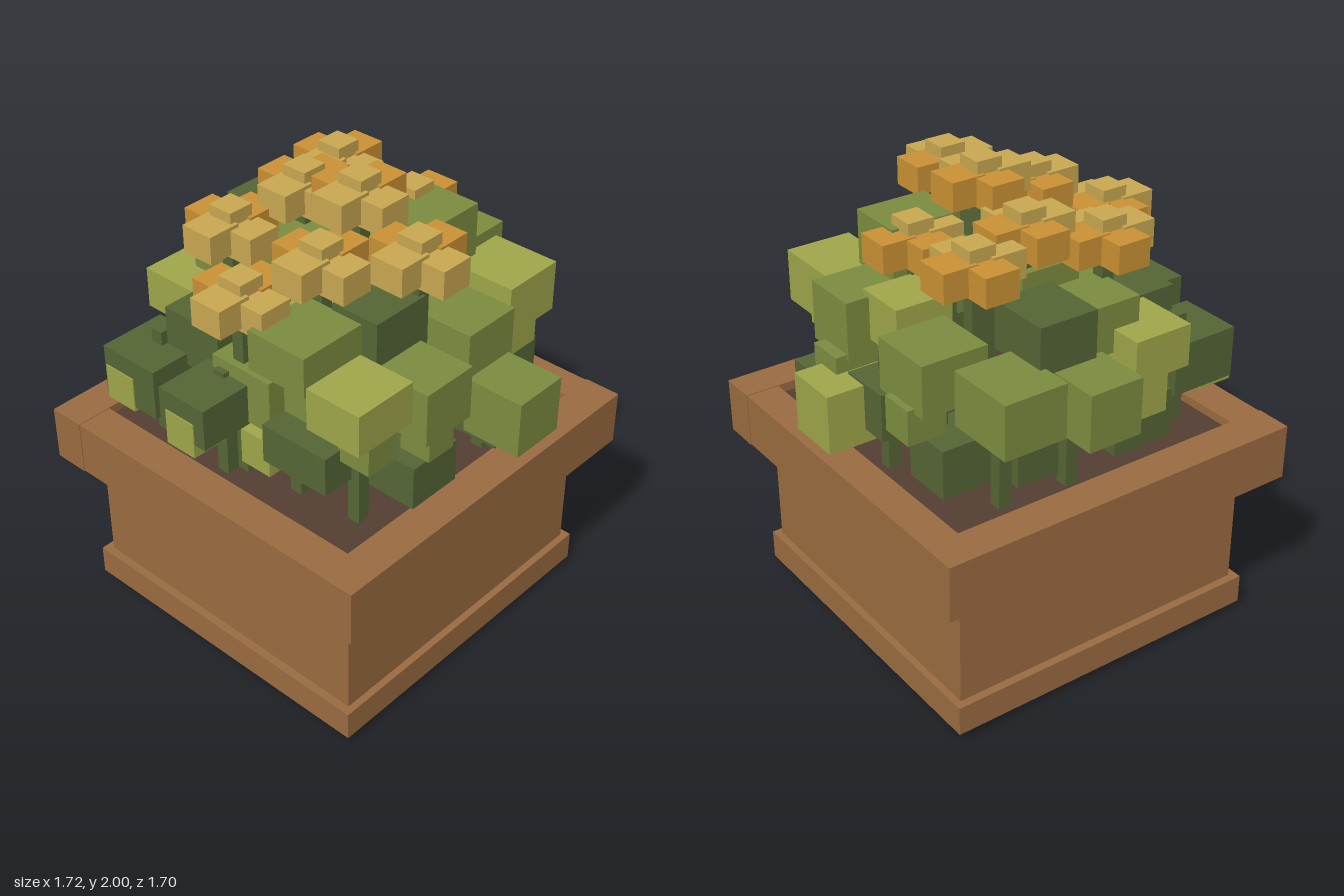
import * as THREE from 'three';

const mat = (name, color) => {
  const m = new THREE.MeshStandardMaterial({ color });
  m.name = name;
  return m;
};

export function createModel() {
  const wood = mat('terracottaBrown', 0x9b6b40);
  const soil = mat('soilBrown', 0x543e32);
  const dark = mat('darkLeafGreen', 0x556635);
  const mid = mat('midLeafGreen', 0x7d8d40);
  const light = mat('lightLeafGreen', 0xa0a74a);
  const orange = mat('petalOrange', 0xcb9234);
  const yellow = mat('petalYellow', 0xc9a851);

  const model = new THREE.Group();
  model.name = 'pottedFlowers';
  const group = (name) => {
    const g = new THREE.Group();
    g.name = name;
    model.add(g);
    return g;
  };
  // Box given by its lower and upper limits on each axis
  const box = (parent, name, material, x0, x1, y0, y1, z0, z1) => {
    const mesh = new THREE.Mesh(new THREE.BoxGeometry(x1 - x0, y1 - y0, z1 - z0), material);
    mesh.position.set((x0 + x1) / 2, (y0 + y1) / 2, (z0 + z1) / 2);
    mesh.name = name;
    parent.add(mesh);
  };

  // Square pot with foot trim and a four-piece rim
  const pot = group('pot');
  box(pot, 'potBody', wood, -0.72, 0.67, 0, 0.8, -0.67, 0.72);
  box(pot, 'footTrim', wood, -0.755, 0.7, 0.03, 0.16, -0.7, 0.755);
  box(pot, 'rimRight', wood, -0.85, -0.69, 0.68, 0.92, -0.8, 0.85);
  box(pot, 'rimLeft', wood, 0.64, 0.8, 0.68, 0.92, -0.8, 0.85);
  box(pot, 'rimFront', wood, -0.69, 0.64, 0.682, 0.917, 0.69, 0.847);
  box(pot, 'rimBack', wood, -0.69, 0.64, 0.682, 0.917, -0.797, -0.65);
  box(pot, 'soil', soil, -0.69, 0.64, 0.8, 0.88, -0.65, 0.69);

  // Leaf blocks, large ones first: x, y and z limits
  const foliage = group('foliage');
  const leaves = (name, material, rows) =>
    rows.forEach((r) => box(foliage, name, material, ...r));

  leaves('darkLeaf', dark, [
    [-0.68, -0.4, 1.44, 1.64, -0.28, -0.02],
    [-0.605, -0.32, 1.08, 1.3, 0.45, 0.75],
    [-0.195, 0.045, 1.16, 1.34, 0.57, 0.83],
    [-0.43, -0.14, 1.25, 1.47, 0.3, 0.57],
    [-0.39, -0.155, 1.0, 1.18, 0.4, 0.665],
    [0.17, 0.49, 1.08, 1.25, 0.34, 0.65],
    [-0.25, -0.02, 1.1, 1.3, -0.69, -0.43],
    [0.24, 0.46, 1.42, 1.67, 0.07, 0.34],
  ]);
  leaves('darkLowLeaf', dark, [
    [0.44, 0.695, 0.98, 1.15, -0.345, -0.1],
    [-0.64, -0.42, 0.94, 1.15, 0.12, 0.4],
    [-0.58, -0.34, 0.92, 1.12, -0.3, -0.05],
    [0.42, 0.66, 0.93, 1.12, 0.1, 0.35],
    [0.2, 0.46, 0.92, 1.13, -0.66, -0.45],
    [-0.52, -0.3, 0.95, 1.16, -0.6, -0.36],
    [-0.14, 0.12, 0.95, 1.18, 0.28, 0.5],
  ]);
  leaves('midLeaf', mid, [
    [-0.81, -0.5, 1.24, 1.47, -0.53, -0.255],
    [-0.86, -0.62, 1.175, 1.415, -0.185, 0.055],
    [0.46, 0.71, 1.25, 1.48, 0.09, 0.345],
    [0.59, 0.855, 1.06, 1.305, -0.28, -0.03],
    [0.29, 0.6, 1.29, 1.5, -0.3, -0.03],
    [0.105, 0.385, 1.47, 1.64, 0.335, 0.645],
    [0.05, 0.3, 1.55, 1.79, -0.43, -0.12],
    [-0.01, 0.24, 1.33, 1.58, -0.68, -0.41],
    [-0.485, -0.2, 1.3, 1.52, -0.66, -0.37],
    [-0.33, -0.05, 1.45, 1.66, -0.1, 0.17],
    [-0.575, -0.28, 1.36, 1.57, -0.03, 0.27],
    [0.14, 0.4, 1.35, 1.55, 0.0, 0.3],
    [-0.14, 0.16, 1.17, 1.4, 0.3, 0.6],
  ]);
  leaves('lightLeaf', light, [
    [-0.13, 0.11, 1.04, 1.29, -0.85, -0.53],
    [-0.71, -0.425, 1.28, 1.46, 0.15, 0.415],
    [0.27, 0.57, 1.34, 1.56, -0.6, -0.315],
    [0.385, 0.64, 1.33, 1.51, 0.345, 0.635],
    [-0.2, 0.03, 1.4, 1.6, -0.58, -0.33],
    [-0.1, 0.2, 1.38, 1.56, 0.18, 0.48],
  ]);
  // Small leaflets hanging from the outer blocks
  leaves('lightLeaflet', light, [
    [-0.16, -0.01, 1.1, 1.255, 0.68, 0.835],
    [-0.595, -0.44, 1.06, 1.215, 0.6, 0.755],
    [-0.69, -0.54, 1.1, 1.28, 0.18, 0.33],
    [0.02, 0.17, 0.98, 1.14, 0.47, 0.62],
    [0.5, 0.64, 1.1, 1.3, -0.2, -0.05],
    [-0.77, -0.64, 1.22, 1.3, -0.4, -0.27],
    [0.4, 0.55, 1.22, 1.36, -0.52, -0.37],
  ]);
  leaves('midLeaflet', mid, [
    [0.22, 0.37, 1.3, 1.48, 0.42, 0.58],
    [0.48, 0.63, 1.2, 1.34, 0.42, 0.57],
    [0.0, 0.16, 1.2, 1.36, -0.73, -0.5],
    [-0.43, -0.28, 1.17, 1.32, -0.69, -0.52],
    [0.55, 0.69, 1.14, 1.28, 0.16, 0.3],
  ]);

  // Thin trunks carrying the leaf blocks
  [[-0.46, 0.57], [-0.27, 0.5], [-0.08, 0.6], [0.22, 0.5], [0.5, 0.48], [0.55, 0.22],
    [0.55, -0.2], [0.42, -0.45], [0.12, -0.54], [-0.1, -0.56], [-0.34, -0.5],
    [-0.58, -0.38], [-0.6, -0.08], [-0.55, 0.28], [0.18, -0.28], [0.3, 0.18],
  ].forEach(([x, z]) =>
    box(foliage, 'trunk', dark, x - 0.028, x + 0.028, 0.87, 1.36, z - 0.028, z + 0.028));

  // Flower heads: four petals round a raised centre, on a stem (x, z, top)
  const flowers = group('flowers');
  [[-0.355, -0.34, 1.87], [0.045, -0.34, 1.83], [-0.265, -0.045, 1.91], [0.05, -0.02, 2],
    [0.42, 0.065, 1.92], [-0.355, 0.27, 1.83], [0.14, 0.29, 1.88], [-0.03, 0.54, 1.77],
  ].forEach(([x, z, top]) => {
    const flower = new THREE.Group();
    flower.name = 'flower';
    flower.position.set(x, top, z);
    flowers.add(flower);
    const cube = (name, m, cx, cz, half, y0, y1) =>
      box(flower, name, m, cx - half, cx + half, y0, y1, cz - half, cz + half);
    cube('backPetal', orange, 0, -0.108, 0.075, -0.17, -0.05);
    cube('rightPetal', orange, -0.105, 0, 0.075, -0.175, -0.055);
    cube('leftPetal', yellow, 0.107, 0.002, 0.074, -0.18, -0.06);
    cube('frontPetal', yellow, 0, 0.108, 0.075, -0.165, -0.045);
    cube('flowerCentre', yellow, 0, 0, 0.058, -0.13, 0);
    cube('stem', dark, 0, 0, 0.028, 0.87 - top, -0.12);
  });

  return model;
}
